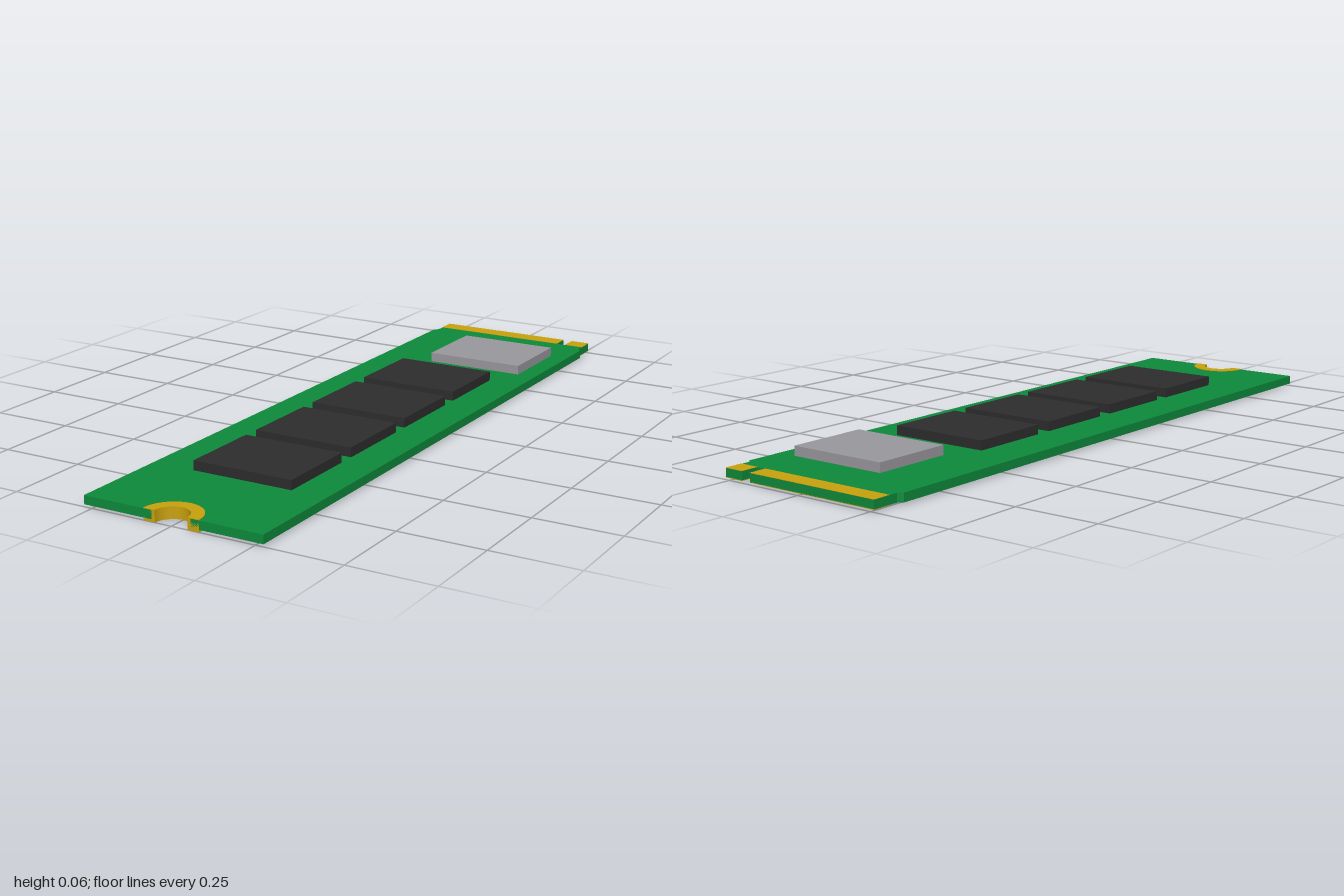
import * as THREE from 'three';

const material = (name, color) => new THREE.MeshStandardMaterial({ name, color });

export function createModel() {
  const green = material('board green', 0x0e8a3c);
  const black = material('chip black', 0x2d2d2d);
  const gold = material('contact gold', 0xc9a20e);
  const grey = material('controller grey', 0x9a989e);

  const model = new THREE.Group();
  model.name = 'storageCard';

  const add = (name, geometry, mat) => {
    const mesh = new THREE.Mesh(geometry, mat);
    mesh.name = name;
    model.add(mesh);
    return mesh;
  };

  // Plan outline (x, -z) raised from y0 to y1
  const slab = (shape, y0, y1) =>
    new THREE.ExtrudeGeometry(shape, { depth: y1 - y0, bevelEnabled: false, curveSegments: 32 })
      .rotateX(-Math.PI / 2)
      .translate(0, y0, 0);

  // Box given by its x, y and z ranges
  const block = (x0, x1, y0, y1, z0, z1) =>
    new THREE.BoxGeometry(x1 - x0, y1 - y0, z1 - z0)
      .translate((x0 + x1) / 2, (y0 + y1) / 2, (z0 + z1) / 2);

  const bottom = 0.007, top = 0.032;

  // Circuit board: round mounting cutout in front, shouldered and keyed edge behind
  const outline = new THREE.Shape();
  outline.moveTo(-0.274, -1);
  outline.lineTo(-0.06, -1);
  outline.absarc(0, -1, 0.06, Math.PI, 0, true);
  [[0.274, -1], [0.274, 0.905], [0.262, 0.918], [0.262, 1], [0.202, 1], [0.202, 0.945],
    [0.172, 0.945], [0.172, 1], [-0.262, 1], [-0.262, 0.918], [-0.274, 0.905]]
    .forEach(([x, y]) => outline.lineTo(x, y));
  outline.closePath();
  add('circuitBoard', slab(outline, bottom, top), green);

  // Half ring lining the mounting cutout
  const ring = new THREE.Shape();
  ring.moveTo(0.085, -1);
  ring.absarc(0, -1, 0.085, 0, Math.PI, false);
  ring.lineTo(-0.05, -1);
  ring.absarc(0, -1, 0.05, Math.PI, 0, true);
  ring.closePath();
  add('mountingRing', slab(ring, 0, 0.034), gold);

  // Edge contacts on both faces, either side of the key notch
  for (const [side, x0, x1] of [['wide', -0.262, 0.172], ['narrow', 0.202, 0.262]]) {
    add(`${side}ContactTop`, block(x0, x1, top - 0.001, top + 0.001, -1, -0.945), gold);
    add(`${side}ContactBottom`, block(x0, x1, bottom - 0.001, bottom + 0.001, -1, -0.945), gold);
  }

  // Row of memory chips
  for (let i = 0; i < 4; i++) {
    const z = 0.58 - i * 0.3;
    add(`memoryChip${i + 1}`, block(-0.142, 0.167, top - 0.002, 0.06, z - 0.125, z + 0.125), black);
  }

  // Controller chip
  add('controllerChip', block(-0.094, 0.216, top - 0.002, 0.06, -0.797, -0.547), grey);

  return model;
}
